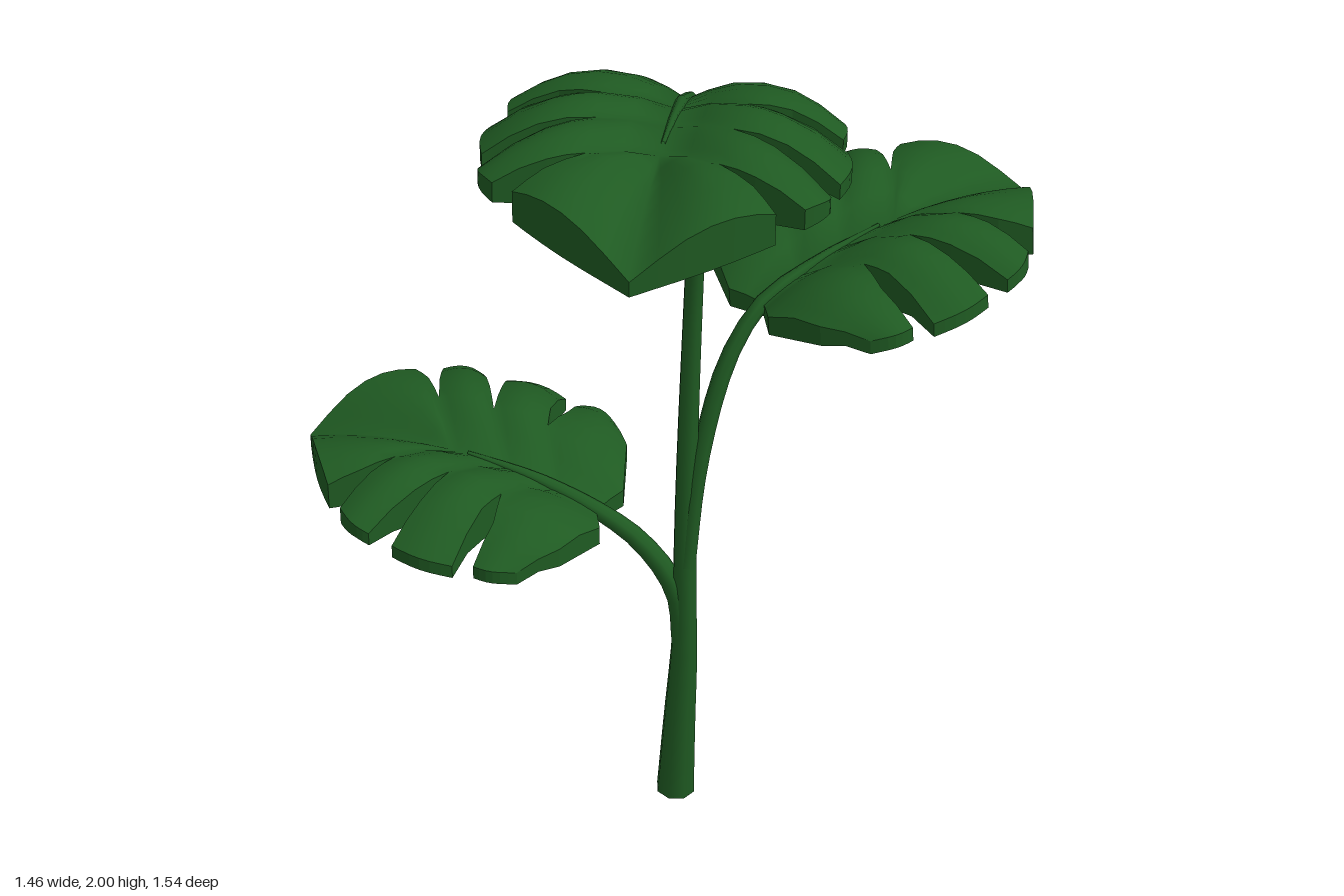
import * as THREE from 'three';
import { mergeVertices, mergeGeometries } from 'three/addons/utils/BufferGeometryUtils.js';

const green = new THREE.MeshStandardMaterial({ color: 0x1f5a22, side: THREE.DoubleSide });
green.name = 'leafGreen';

const ROWS = 6;
const COLS = 6;

// Lobes of one half leaf: lower and upper edge, each [along, across] from midrib to rim
const LOBES = [
  [[[0.02, 0], [-0.015, 0.07], [0.025, 0.195], [0.085, 0.28]], [[0.12, 0], [0.18, 0.13], [0.165, 0.21], [0.172, 0.303]]],
  [[[0.12, 0], [0.18, 0.13], [0.198, 0.19], [0.213, 0.316]], [[0.23, 0], [0.3, 0.12], [0.322, 0.22], [0.347, 0.316]]],
  [[[0.23, 0], [0.3, 0.12], [0.343, 0.2], [0.403, 0.306]], [[0.35, 0], [0.425, 0.115], [0.452, 0.18], [0.483, 0.27]]],
  [[[0.35, 0], [0.425, 0.115], [0.478, 0.18], [0.53, 0.226]], [[0.35, 0], [0.46, 0], [0.57, 0], [0.68, 0]]],
];

// Height of the arched midrib, and of the blade rising then drooping beside it
const ribHeight = (u) => 0.434 * u - 0.563 * u * u;
const bladeHeight = (u, v) => ribHeight(u) + 0.694 * v - 2.404 * v * v;

// The underside is a shallow keel, closing towards the thin rim
const keelHeight = (u, v) => -0.025 + 0.14 * u - 0.14 * u * u + 0.12 * v;
const under = (p) => new THREE.Vector3(p.x, Math.min(keelHeight(p.z, Math.abs(p.x)), p.y - 0.03), p.z);

function edgePoint(edge, t) {
  const i = Math.min(2, Math.floor(t * 3));
  const f = t * 3 - i;
  return [0, 1].map((k) => edge[i][k] + (edge[i + 1][k] - edge[i][k]) * f);
}

// Point on the top of a lobe; s runs across it, t from midrib to rim
function lobePoint([lower, upper], s, t, side) {
  const a = edgePoint(lower, t);
  const b = edgePoint(upper, t);
  const swell = Math.sin(Math.PI * s);
  const u = a[0] + (b[0] - a[0]) * s;
  const v = a[1] + (b[1] - a[1]) * s + 0.014 * swell * t * t;
  const puff = (0.014 * swell - 0.008) * Math.min(1, v / 0.08);
  return new THREE.Vector3(side * v, bladeHeight(u, v) + puff, u);
}

function sheet(points, smooth) {
  let geo = new THREE.BufferGeometry().setFromPoints(points);
  if (smooth) geo = mergeVertices(geo, 1e-4);
  geo.computeVertexNormals();
  return geo.index ? geo.toNonIndexed() : geo;
}

function leafGeometry() {
  const top = [];
  const bottom = [];
  const rim = [];
  const tri = (list, a, b, c, flip) => list.push(...(flip ? [a, c, b] : [a, b, c]));

  for (const side of [1, -1]) {
    const flip = side < 0;
    LOBES.forEach((lobe, n) => {
      const at = (i, j) => lobePoint(lobe, i / COLS, j / ROWS, side);
      for (let i = 0; i < COLS; i++) {
        for (let j = 0; j < ROWS; j++) {
          const [a, b, c, d] = [at(i, j), at(i + 1, j), at(i + 1, j + 1), at(i, j + 1)];
          for (const [p, q, r] of [[a, b, c], [a, c, d]]) {
            tri(top, p, q, r, flip);
            tri(bottom, under(p), under(q), under(r), !flip);
          }
        }
      }
      // Rim wall: out along the lower edge, across the end, back along the slit
      const path = [];
      for (let j = n === 0 ? 0 : 2; j <= ROWS; j++) path.push(at(0, j));
      for (let i = 1; i <= COLS; i++) path.push(at(i, ROWS));
      if (n < LOBES.length - 1) for (let j = ROWS - 1; j >= 2; j--) path.push(at(COLS, j));
      for (let k = 0; k < path.length - 1; k++) {
        const [p, q] = [path[k], path[k + 1]];
        tri(rim, under(p), p, q, flip);
        tri(rim, under(p), q, under(q), flip);
      }
    });
  }
  return mergeGeometries([sheet(top, true), sheet(bottom, true), sheet(rim, false)]);
}

// Tube whose radius follows a list of values along its length
function taperedTube(points, radii, segments, sides = 8) {
  const curve = new THREE.CatmullRomCurve3(points.map((p) => new THREE.Vector3(...p)));
  const geo = new THREE.TubeGeometry(curve, segments, 1, sides);
  const pos = geo.attributes.position;
  const v = new THREE.Vector3();
  for (let i = 0; i <= segments; i++) {
    const t = i / segments;
    const centre = curve.getPointAt(t);
    const x = t * (radii.length - 1);
    const k = Math.min(radii.length - 2, Math.floor(x));
    const r = THREE.MathUtils.lerp(radii[k], radii[k + 1], x - k);
    for (let j = 0; j <= sides; j++) {
      const id = i * (sides + 1) + j;
      v.fromBufferAttribute(pos, id).sub(centre).multiplyScalar(r).add(centre);
      pos.setXYZ(id, v.x, v.y, v.z);
    }
  }
  return geo;
}

export function createModel() {
  const model = new THREE.Group();
  model.name = 'plant';
  const add = (geo, name) => {
    const mesh = new THREE.Mesh(geo, green);
    mesh.name = name;
    model.add(mesh);
    return mesh;
  };

  // Each leaf: base, heading in x and z, pitch, roll, and the stalk leading to it
  const leaves = [
    { name: 'low', base: [-0.05, 0.70, -0.077], dir: [-1, 0], pitch: 0, roll: 0,
      stalk: [[0.128, 0.4, -0.078], [0.108, 0.55, -0.078], [0.03, 0.655, -0.077]],
      radii: [0.026, 0.024, 0.02, 0.014, 0.004] },
    { name: 'middle', base: [0.225, 1.205, -0.207], dir: [0.6, -0.8], pitch: -0.04, roll: -0.07,
      stalk: [[0.13, 0.6, -0.08], [0.148, 0.87, -0.1], [0.18, 1.08, -0.145], [0.205, 1.16, -0.18]],
      radii: [0.02, 0.02, 0.019, 0.015, 0.004] },
    { name: 'top', base: [0.185, 1.86, 0.105], dir: [0.2, 0.98], pitch: 0, roll: 0,
      stalk: [[0.13, 0.4, -0.078], [0.125, 0.8, -0.09], [0.132, 1.35, -0.1], [0.155, 1.6, -0.055], [0.172, 1.78, 0.03]],
      radii: [0.028, 0.024, 0.021, 0.019, 0.016, 0.004] },
  ];

  const blade = leafGeometry();
  for (const { name, base, dir, pitch, roll, stalk, radii } of leaves) {
    const leaf = add(blade, name + 'Leaf');
    leaf.position.set(...base);
    leaf.rotation.set(pitch, Math.atan2(dir[0], dir[1]), roll, 'YXZ');

    // The stalk runs on over the blade as a fading midrib
    const rib = [0.02, 0.16, 0.31].map((u) =>
      new THREE.Vector3(0, ribHeight(u) + 0.004, u).applyEuler(leaf.rotation).add(leaf.position).toArray());
    add(taperedTube([...stalk, ...rib], radii, 16), name + 'Stalk');
  }

  // Trunk with a flat foot
  add(taperedTube([[0.118, 0, -0.07], [0.124, 0.2, -0.073], [0.131, 0.42, -0.078], [0.127, 0.62, -0.082]],
    [0.043, 0.036, 0.029, 0.022], 8), 'trunk');
  const foot = add(new THREE.CircleGeometry(0.043, 8), 'trunkFoot');
  foot.position.set(0.118, 0.001, -0.07);
  foot.rotation.x = Math.PI / 2;

  return model;
}
